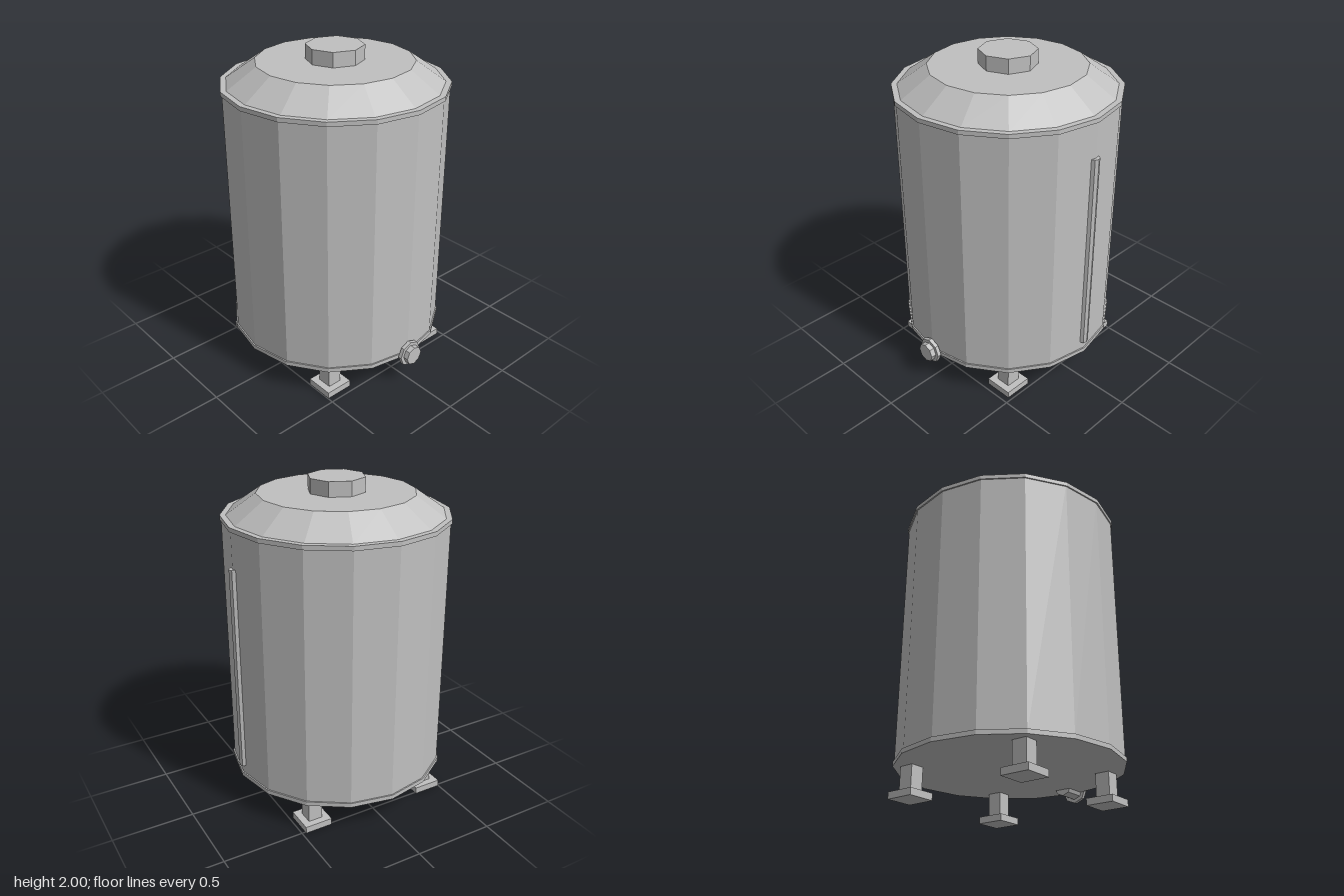
import * as THREE from 'three';

export function createModel() {
  const model = new THREE.Group();
  model.name = 'storageTank';
  const steel = new THREE.MeshStandardMaterial({ color: 0xc0c0c0, flatShading: true });
  steel.name = 'steel grey';

  const tank = new THREE.Group();
  tank.name = 'tank';
  tank.position.set(-0.01, 0, -0.025);
  model.add(tank);

  function add(name, geometry, x, y, z, parent = tank) {
    const mesh = new THREE.Mesh(geometry, steel);
    mesh.name = name;
    mesh.position.set(x, y, z);
    parent.add(mesh);
    return mesh;
  }

  // Upright faceted drum between two heights
  const drum = (name, rTop, rBottom, y0, y1, sides, x = 0) =>
    add(name, new THREE.CylinderGeometry(rTop, rBottom, y1 - y0, sides), x, (y0 + y1) / 2, 0);

  // Shell, rims, sloped lid and hatch
  drum('body', 0.667, 0.667, 0.2, 1.78, 16);
  drum('lowerRim', 0.675, 0.675, 0.19, 0.217, 16);
  drum('upperRim', 0.675, 0.675, 1.764, 1.79, 16);
  drum('lid', 0.465, 0.642, 1.789, 1.912, 16);
  drum('hatch', 0.172, 0.172, 1.911, 2, 8);

  // Level gauge on the left side
  drum('levelGauge', 0.031, 0.031, 0.272, 1.55, 8, 0.659);

  // Four legs with square feet
  for (const sx of [-1, 1]) {
    for (const sz of [-1, 1]) {
      const leg = new THREE.Group();
      leg.name = 'leg';
      leg.position.set(sx * 0.4, 0, sz * 0.4);
      tank.add(leg);
      add('post', new THREE.BoxGeometry(0.09, 0.16, 0.09), 0, 0.12, 0, leg);
      add('foot', new THREE.BoxGeometry(0.175, 0.042, 0.175), 0, 0.021, 0, leg);
    }
  }

  // Outlet pipe and flange, lying along z at the front
  function outletPart(name, radius, z0, z1) {
    const g = new THREE.CylinderGeometry(radius, radius, z1 - z0, 8).rotateX(Math.PI / 2);
    add(name, g, 0, 0.21, (z0 + z1) / 2 + 0.025);
  }
  outletPart('outletPipe', 0.059, 0.515, 0.701);
  outletPart('outletFlange', 0.081, 0.645, 0.669);

  return model;
}
